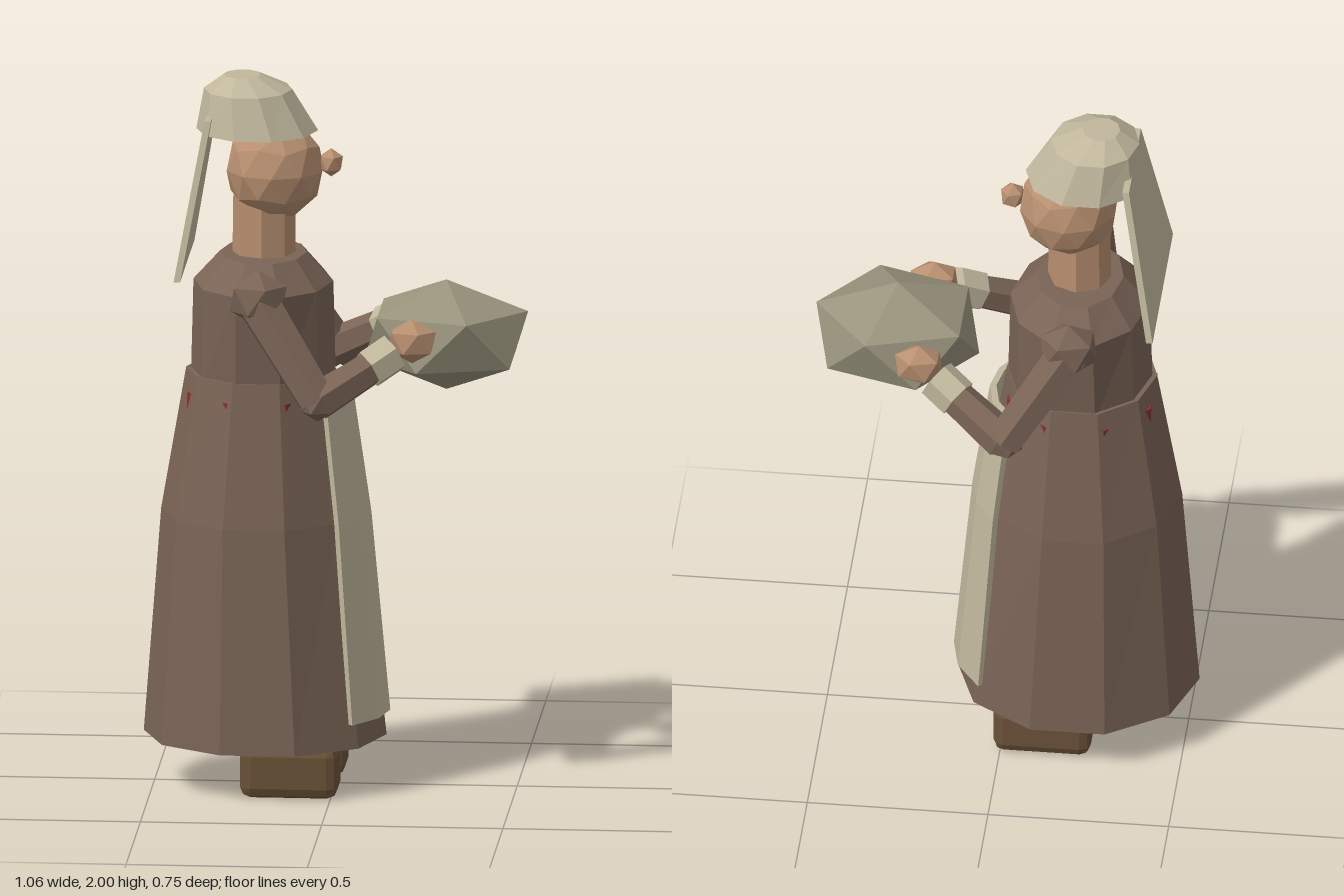
import * as THREE from 'three';
import { RoundedBoxGeometry } from 'three/addons/geometries/RoundedBoxGeometry.js';

const mat = (color) => new THREE.MeshStandardMaterial({ color, flatShading: true });
const CLOTH = mat(0x7a6456), LINEN = mat(0xc0b79c), SKIN = mat(0xb88f70);
const BUNDLE = mat(0x98937c), SHOE = mat(0x6b5238), RED = mat(0x8c2f2a);
const V = (x, y, z) => new THREE.Vector3(x, y, z);

// Closed solid through horizontal sections, listed bottom to top (counter-clockwise from above)
function loft(sections) {
  const pos = [];
  const quad = (a, b, c, d) => [a, b, c, a, c, d].forEach((p) => pos.push(p.x, p.y, p.z));
  const n = sections[0].length;
  for (let s = 0; s < sections.length - 1; s++) {
    const lo = sections[s], hi = sections[s + 1];
    for (let i = 0; i < n; i++) {
      const j = (i + 1) % n;
      quad(lo[i], lo[j], hi[j], hi[i]);
    }
  }
  const bottom = sections[0], top = sections[sections.length - 1];
  for (let i = 0; i < n / 2 - 1; i++) {
    const k = n - 1 - i;
    quad(top[i], top[i + 1], top[k - 1], top[k]);
    quad(bottom[k], bottom[k - 1], bottom[i + 1], bottom[i]);
  }
  const g = new THREE.BufferGeometry();
  g.setAttribute('position', new THREE.Float32BufferAttribute(pos, 3));
  g.computeVertexNormals();
  return g;
}

// Elliptical polygon section
function ring(y, cx, rx, rz, n = 10, phase = 0) {
  return Array.from({ length: n }, (_, i) => {
    const t = phase + (i / n) * Math.PI * 2;
    return V(cx + rx * Math.cos(t), y, -rz * Math.sin(t));
  });
}

// Icosahedral ball with one corner pointing up
function ball(rx, ry, rz, detail = 0) {
  const g = new THREE.IcosahedronGeometry(1, detail);
  g.rotateZ(-Math.atan(2 / (1 + Math.sqrt(5))));
  return g.scale(rx, ry, rz);
}

export function createModel() {
  const model = new THREE.Group();
  model.name = 'woman';
  const add = (name, geometry, material, at) => {
    const m = new THREE.Mesh(geometry, material);
    m.name = name;
    if (at) m.position.copy(at);
    model.add(m);
    return m;
  };
  // Tapered six-sided limb between two points
  const limb = (name, a, b, ra, rb, material) => {
    const dir = b.clone().sub(a);
    const m = add(name, new THREE.CylinderGeometry(rb, ra, dir.length(), 6), material,
      a.clone().add(b).multiplyScalar(0.5));
    m.quaternion.setFromUnitVectors(V(0, 1, 0), dir.normalize());
  };

  // Dress
  add('skirt', loft([
    ring(0.14, -0.195, 0.335, 0.3),
    ring(0.77, -0.207, 0.275, 0.27),
    ring(1.17, -0.205, 0.208, 0.208),
  ]), CLOTH);
  add('bodice', loft([
    ring(1.14, -0.2, 0.2, 0.2),
    ring(1.42, -0.2, 0.193, 0.235),
    ring(1.5, -0.2, 0.12, 0.16),
  ]), CLOTH);
  const eighth = Math.PI / 8;
  add('belt', loft([
    ring(1.05, -0.205, 0.215, 0.215, 8, eighth),
    ring(1.115, -0.205, 0.215, 0.215, 8, eighth),
  ]), RED);

  // Apron: thin curved panel over the front of the skirt
  const apronSection = (y, rx, rz) => {
    const arc = (grow) => [-2, -1, 0, 1, 2].map((k) => {
      const t = k * 0.365;
      return V(-0.2 + (rx + grow) * Math.cos(t), y, -(rz + grow) * Math.sin(t));
    });
    return [...arc(0), ...arc(-0.018).reverse()];
  };
  add('apron', loft([
    apronSection(0.21, 0.35, 0.295),
    apronSection(0.77, 0.298, 0.27),
    apronSection(1.1, 0.25, 0.225),
  ]), LINEN);

  // Head
  add('neck', new THREE.CylinderGeometry(0.085, 0.088, 0.22, 8), SKIN, V(-0.198, 1.56, 0));
  add('head', ball(0.137, 0.142, 0.137, 1), SKIN, V(-0.168, 1.735, 0));
  add('nose', ball(0.036, 0.04, 0.038), SKIN, V(-0.013, 1.755, 0));
  add('cap', loft([
    ring(1.845, -0.217, 0.168, 0.163),
    ring(1.96, -0.242, 0.122, 0.128),
    ring(2.0, -0.258, 0.052, 0.055),
  ]), LINEN);

  // Veil hanging behind the head
  const veilSection = (y, x, w) => [V(x, y, w), V(x, y, -w), V(x - 0.018, y, -w), V(x - 0.018, y, w)];
  add('veil', loft([veilSection(1.468, -0.41, 0.255), veilSection(1.9, -0.333, 0.15)]), LINEN);

  // Arms, hands and shoes, mirrored
  for (const [side, s] of [['left', -1], ['right', 1]]) {
    const shoulder = V(-0.2, 1.42, s * 0.245), elbow = V(-0.025, 1.155, s * 0.325);
    const wrist = V(0.11, 1.232, s * 0.25), cuffEnd = V(0.175, 1.272, s * 0.215);
    add(side + 'Shoulder', ball(0.088, 0.08, 0.075), CLOTH, V(-0.195, 1.425, s * 0.245));
    limb(side + 'UpperArm', shoulder, elbow, 0.064, 0.056, CLOTH);
    add(side + 'Elbow', ball(0.056, 0.056, 0.056), CLOTH, elbow);
    limb(side + 'Forearm', elbow, wrist, 0.056, 0.05, CLOTH);
    limb(side + 'Cuff', wrist, cuffEnd, 0.058, 0.058, LINEN);
    add(side + 'Hand', ball(0.074, 0.062, 0.055), SKIN, V(0.225, 1.3, s * 0.195));
    add(side + 'Shoe', new RoundedBoxGeometry(0.27, 0.15, 0.155, 1, 0.03), SHOE,
      V(-0.115, 0.075, s * 0.14));
  }

  // Bundle carried in both hands
  add('bundle', ball(0.252, 0.155, 0.222), BUNDLE, V(0.305, 1.275, 0));
  return model;
}
